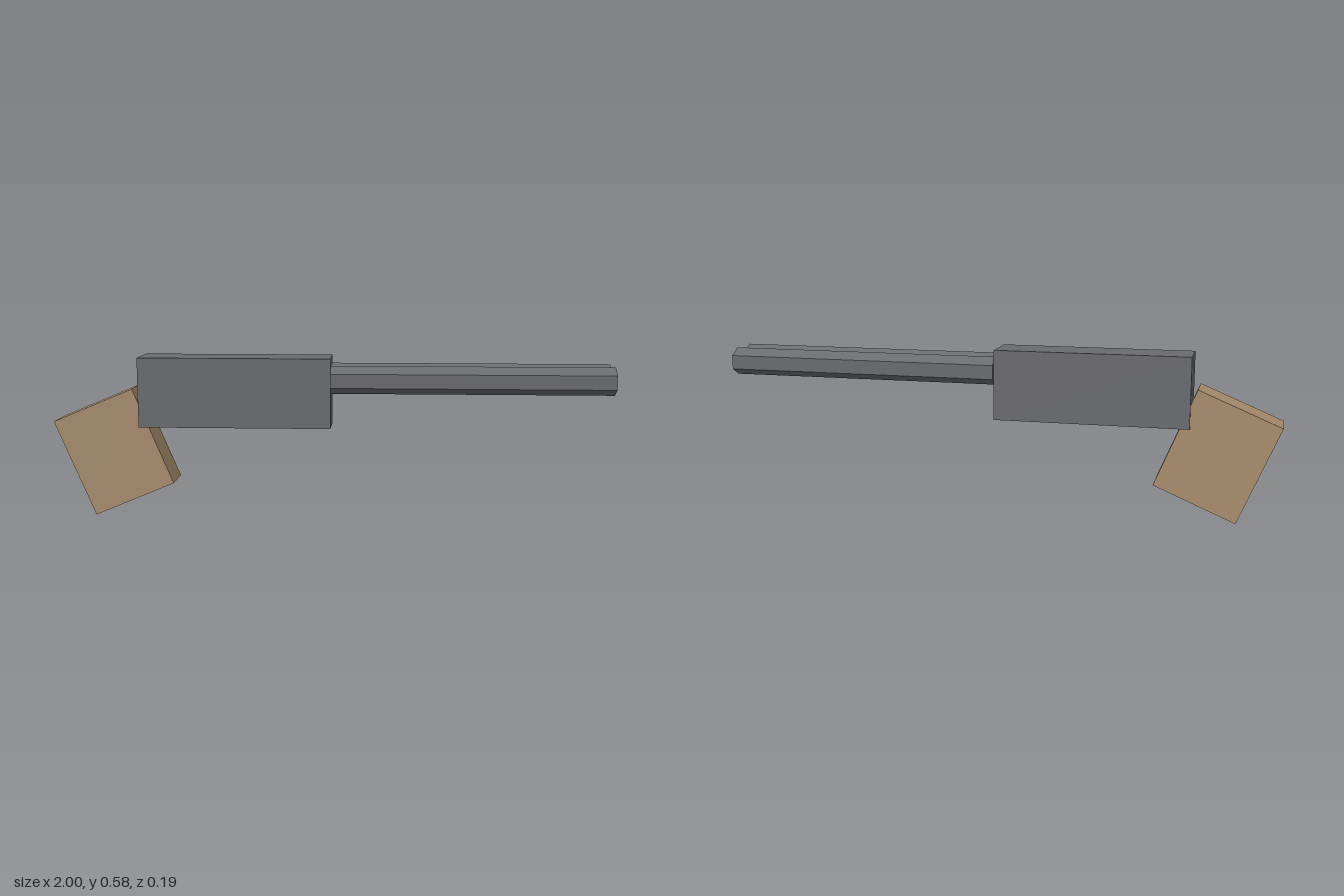
import * as THREE from 'three';

export function createModel() {
  const model = new THREE.Group();
  const steel = new THREE.MeshStandardMaterial({ name: 'grey steel', color: 0x6a6b6e, flatShading: true });
  const wood = new THREE.MeshStandardMaterial({ name: 'light wood', color: 0xa98d6f, flatShading: true });

  const add = (name, geometry, material, x, y, z = 0) => {
    const mesh = new THREE.Mesh(geometry, material);
    mesh.name = name;
    mesh.position.set(x, y, z);
    model.add(mesh);
    return mesh;
  };

  // Block-shaped body
  add('receiver', new THREE.BoxGeometry(0.69, 0.25, 0.156), steel, -0.345, 0.453);

  // Slanted wooden handle, partly sunk into the body
  const grip = add('grip', new THREE.BoxGeometry(0.312, 0.372, 0.14), wood, -0.785, 0.234);
  grip.rotation.z = THREE.MathUtils.degToRad(22.7);

  // Two hexagonal barrels lying along x, with a corner edge on top
  const barrel = new THREE.CylinderGeometry(0.05, 0.05, 1, 6, 1, false, Math.PI / 2);
  barrel.rotateZ(-Math.PI / 2);
  add('leftBarrel', barrel, steel, 0.5, 0.501, -0.051);
  add('rightBarrel', barrel, steel, 0.5, 0.501, 0.051);

  return model;
}
